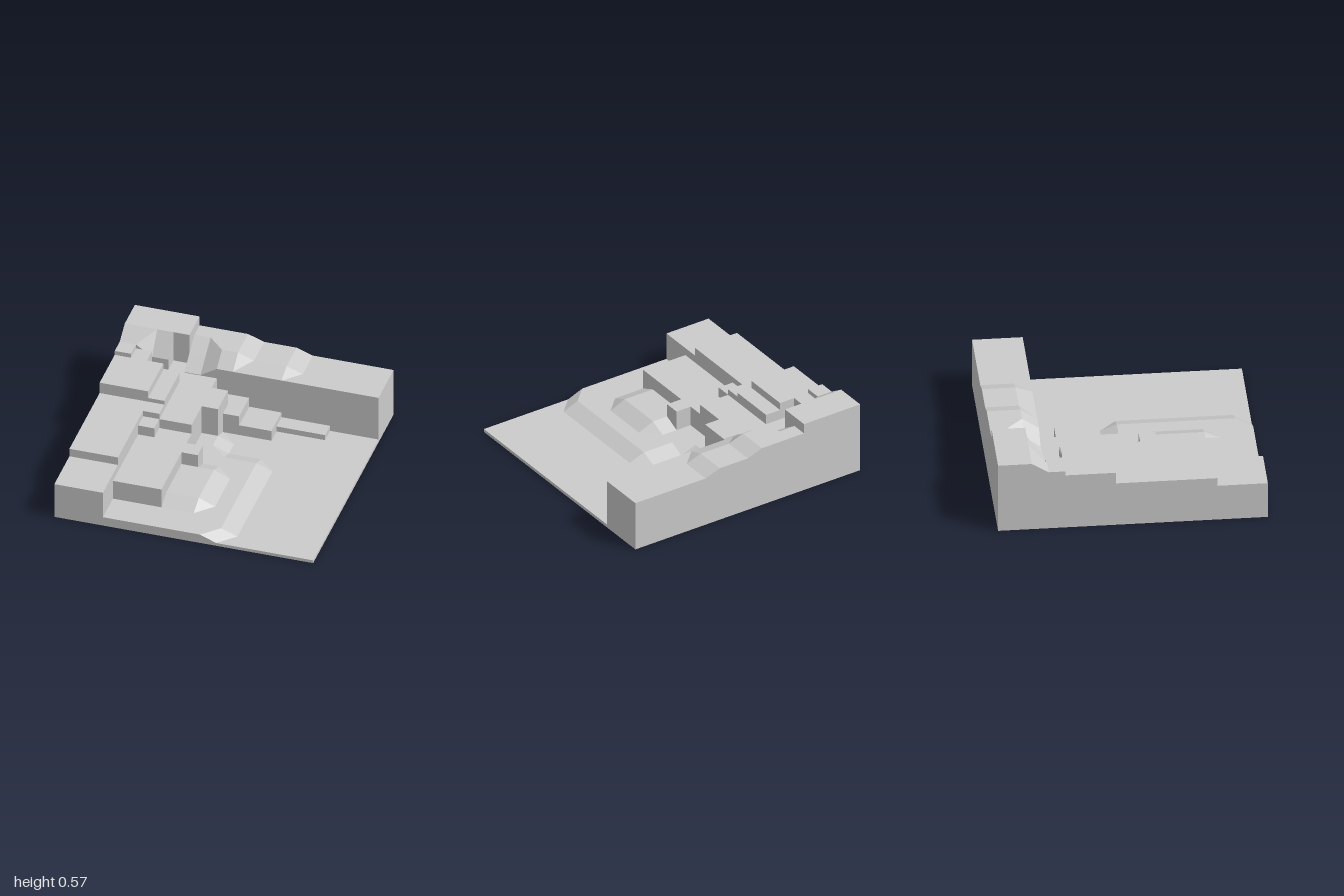
import * as THREE from 'three';

const N = 16, S = 0.125;
const at = (i) => -1 + i * S;
const idx = (v) => Math.round((v + 1) / S);

// Corner heights of the low ground: two stepped terraces with sloped rims
function groundHeight(x, z) {
  if (x <= 0 && z >= 0.25 && z <= 0.625) return 0.13;
  if (x <= 0.25 && z >= 0 && !(x >= 0.25 && z >= 1)) return 0.075;
  if (x <= -0.125 && z >= -0.25) return 0.075;
  return 0.025;
}

// Corner heights of the ridge along the back
function ridgeHeight(x, z) {
  if (z >= -0.625) return x <= -0.375 ? 0.32 : 0.4;
  if (z >= -0.75 && x <= -0.375) return 0.41;
  return x <= -0.125 ? 0.49 : x <= 0.25 ? 0.445 : 0.4;
}

const summitSlope = (x, z) => (z <= -0.75 ? 0.57 : x <= -0.875 ? 0.49 : 0.405);

// Name, x range, z range, height (number or rule); later parts replace earlier ones
const PARTS = [
  ['ground', -1, 1, -1, 1, groundHeight],
  ['backRidge', -0.5, 1, -1, -0.625, ridgeHeight],
  ['lowStep', 0.25, 0.625, -0.625, -0.5, 0.07],
  ['middleStep', 0, 0.25, -0.625, -0.375, 0.112],
  ['highStep', -0.125, 0, -0.625, -0.375, 0.192],
  ['highStep', -0.25, -0.125, -0.625, -0.5, 0.192],
  ['frontTerrace', -0.625, -0.25, 0, 0.75, 0.235],
  ['frontTerrace', -0.25, -0.125, 0.125, 0.25, 0.235],
  ['middleTerrace', -0.625, -0.25, -0.625, 0, 0.315],
  ['middleTerrace', -0.25, -0.125, -0.5, -0.25, 0.315],
  ['middleTerrace', -0.625, -0.5, -0.75, -0.625, 0.315],
  ['smallBlock', -0.625, -0.5, 0, 0.125, 0.315],
  ['upperLedge', -0.625, -0.5, -0.5, -0.125, 0.395],
  ['sideTerraceFront', -1, -0.625, 0.625, 1, 0.295],
  ['sideTerraceMiddle', -1, -0.625, -0.125, 0.625, 0.362],
  ['sideTerraceMiddle', -0.625, -0.5, -0.125, 0, 0.362],
  ['sideTerraceBack', -1, -0.625, -0.625, -0.125, 0.455],
  ['middleTerrace', -0.75, -0.625, -0.625, -0.5, 0.315],
  ['cornerStep', -1, -0.875, -0.625, -0.5, 0.49],
  ['summitSlope', -1, -0.625, -0.75, -0.625, summitSlope],
  ['summit', -1, -0.5, -1, -0.75, 0.57],
];

// Cell corners in order: back left, back right, front right, front left (seen from above)
const CORNERS = [[0, 0], [1, 0], [1, 1], [0, 1]];
const NEIGHBOURS = [[0, -1], [1, 0], [0, 1], [-1, 0]];

export function createModel() {
  const model = new THREE.Group();
  const material = new THREE.MeshStandardMaterial({ color: 0xcccccc, flatShading: true });

  // Fill the grid of cells, each with its own four corner heights
  const cells = new Map();
  const key = (i, k) => i + ',' + k;
  for (const [name, x0, x1, z0, z1, h] of PARTS) {
    for (let i = idx(x0); i < idx(x1); i++) {
      for (let k = idx(z0); k < idx(z1); k++) {
        const heights = CORNERS.map(([a, b]) =>
          typeof h === 'number' ? h : h(at(i + a), at(k + b)));
        cells.set(key(i, k), { name, heights });
      }
    }
  }

  // Tops, plus walls wherever a cell stands above its neighbour
  const positions = {};
  for (let i = 0; i < N; i++) {
    for (let k = 0; k < N; k++) {
      const { name, heights } = cells.get(key(i, k));
      const out = (positions[name] ??= []);
      const tri = (a, b, c) => out.push(...a, ...b, ...c);
      const p = CORNERS.map(([a, b], c) => [at(i + a), heights[c], at(k + b)]);

      // Split the top along its flatter diagonal
      if (Math.abs(heights[0] - heights[2]) <= Math.abs(heights[1] - heights[3])) {
        tri(p[0], p[2], p[1]);
        tri(p[0], p[3], p[2]);
      } else {
        tri(p[0], p[3], p[1]);
        tri(p[1], p[3], p[2]);
      }

      NEIGHBOURS.forEach(([di, dk], side) => {
        const next = (side + 1) % 4;
        const other = cells.get(key(i + di, k + dk));
        const low = [side, next].map((c) => {
          const [a, b] = CORNERS[c];
          const m = CORNERS.findIndex(([u, v]) => u === a - di && v === b - dk);
          return Math.min(heights[c], other ? other.heights[m] : 0);
        });
        if (heights[side] - low[0] + heights[next] - low[1] < 1e-4) return;
        const a = p[side], b = p[next];
        const la = [a[0], low[0], a[2]], lb = [b[0], low[1], b[2]];
        tri(a, b, lb);
        tri(a, lb, la);
      });
    }
  }

  for (const [name, list] of Object.entries(positions)) {
    const geometry = new THREE.BufferGeometry();
    geometry.setAttribute('position', new THREE.Float32BufferAttribute(list, 3));
    geometry.computeVertexNormals();
    const mesh = new THREE.Mesh(geometry, material);
    mesh.name = name;
    model.add(mesh);
  }

  // Underside
  const underside = new THREE.Mesh(new THREE.PlaneGeometry(2, 2).rotateX(Math.PI / 2), material);
  underside.name = 'underside';
  model.add(underside);
  return model;
}
